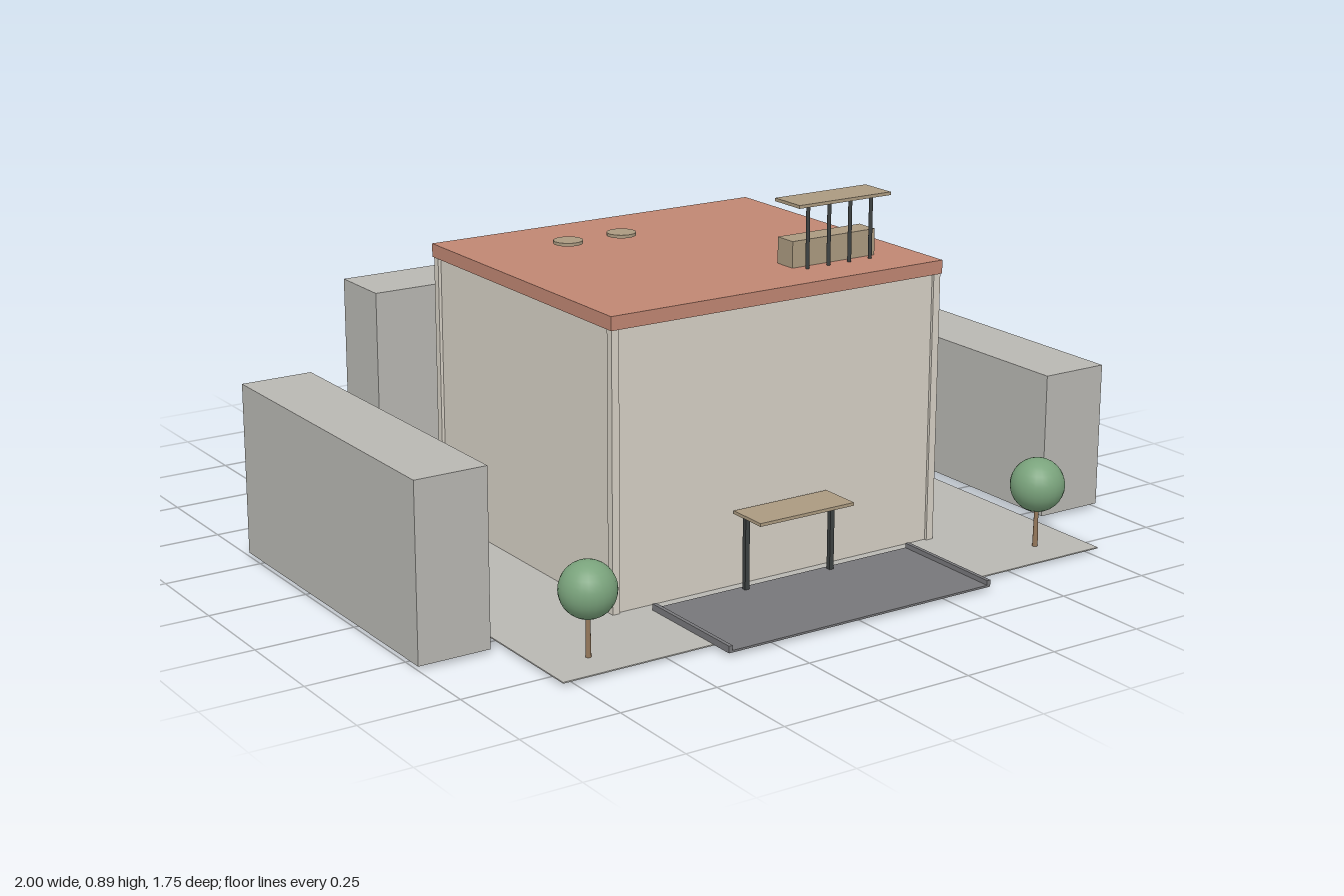
import * as THREE from 'three';

const material = (color, flatShading = false) => new THREE.MeshStandardMaterial({ color, flatShading });

export function createModel() {
  const model = new THREE.Group();
  const mats = {
    grey: material(0xb8b7b2), wall: material(0xd6d0c4), roof: material(0xc08672),
    paving: material(0x77777a), wood: material(0xab9a80), dark: material(0x3c4040),
    trunk: material(0x94775a), leaf: material(0x7aa37c),
  };

  const add = (name, geometry, mat, x, y, z, parent = model) => {
    const mesh = new THREE.Mesh(geometry, mats[mat]);
    mesh.name = name;
    mesh.position.set(x, y, z);
    parent.add(mesh);
    return mesh;
  };
  // box given by its minimum and maximum on each axis
  const box = (name, mat, [x0, x1], [y0, y1], [z0, z1], parent) =>
    add(name, new THREE.BoxGeometry(x1 - x0, y1 - y0, z1 - z0), mat,
      (x0 + x1) / 2, (y0 + y1) / 2, (z0 + z1) / 2, parent);
  const group = (name) => {
    const g = new THREE.Group();
    g.name = name;
    model.add(g);
    return g;
  };

  // site and neighbouring blocks
  box('ground', 'grey', [-0.778, 0.778], [0.007, 0.01], [-0.559, 0.812]);
  box('rightNeighbour', 'grey', [-1, -0.815], [0.01, 0.445], [-0.312, 0.56]);
  box('leftNeighbour', 'grey', [0.815, 1], [0.01, 0.385], [-0.312, 0.56]);
  box('backNeighbour', 'grey', [-0.436, 0.436], [0.01, 0.508], [-0.873, -0.688]);

  // main building with slim corner strips and a flat roof
  const building = group('building');
  box('walls', 'wall', [-0.467, 0.467], [0, 0.696], [-0.282, 0.53], building);
  for (const x of [-0.465, 0.465]) {
    for (const z of [-0.279, 0.527]) {
      box('cornerStrip', 'wall', [x - 0.01, x + 0.01], [0.01, 0.696], [z - 0.01, z + 0.01], building);
    }
  }
  box('roof', 'roof', [-0.478, 0.478], [0.696, 0.73], [-0.293, 0.54], building);

  // front terrace with raised edges
  const terrace = group('terrace');
  box('terracePaving', 'paving', [-0.38, 0.38], [0.009, 0.014], [0.56, 0.873], terrace);
  for (const x of [-0.375, 0.375]) {
    box('terraceEdge', 'paving', [x - 0.005, x + 0.005], [0.01, 0.026], [0.56, 0.873], terrace);
  }

  // entrance canopy
  const canopy = group('entranceCanopy');
  box('canopyTop', 'wood', [-0.137, 0.137], [0.195, 0.203], [0.54, 0.65], canopy);
  for (const x of [-0.125, 0.125]) {
    box('canopyPost', 'dark', [x - 0.006, x + 0.006], [0.01, 0.195], [0.57, 0.582], canopy);
  }

  // rooftop counter under a pergola
  const bar = group('rooftopBar');
  box('counter', 'wood', [0.124, 0.372], [0.73, 0.796], [0.345, 0.406], bar);
  box('pergolaTop', 'wood', [0.112, 0.386], [0.886, 0.894], [0.348, 0.448], bar);
  for (let i = 0; i < 4; i++) {
    add('pergolaPost', new THREE.CylinderGeometry(0.005, 0.005, 0.156, 10), 'dark',
      0.153 + i * 0.063, 0.808, 0.427, bar);
  }

  // round tabletops on the roof
  for (const x of [-0.22, -0.064]) {
    add('roundTable', new THREE.CylinderGeometry(0.037, 0.037, 0.008, 24), 'wood', x, 0.747, -0.064);
  }

  // trees
  const spots = [[-0.655, -0.47], [0.655, -0.47], [0, -0.502], [-0.655, 0.718], [0.655, 0.718]];
  for (const [x, z] of spots) {
    const tree = group('tree');
    tree.position.set(x, 0, z);
    add('trunk', new THREE.CylinderGeometry(0.005, 0.007, 0.11, 10), 'trunk', 0, 0.065, 0, tree);
    add('foliage', new THREE.SphereGeometry(0.068, 24, 16), 'leaf', 0, 0.171, 0, tree);
  }
  return model;
}
